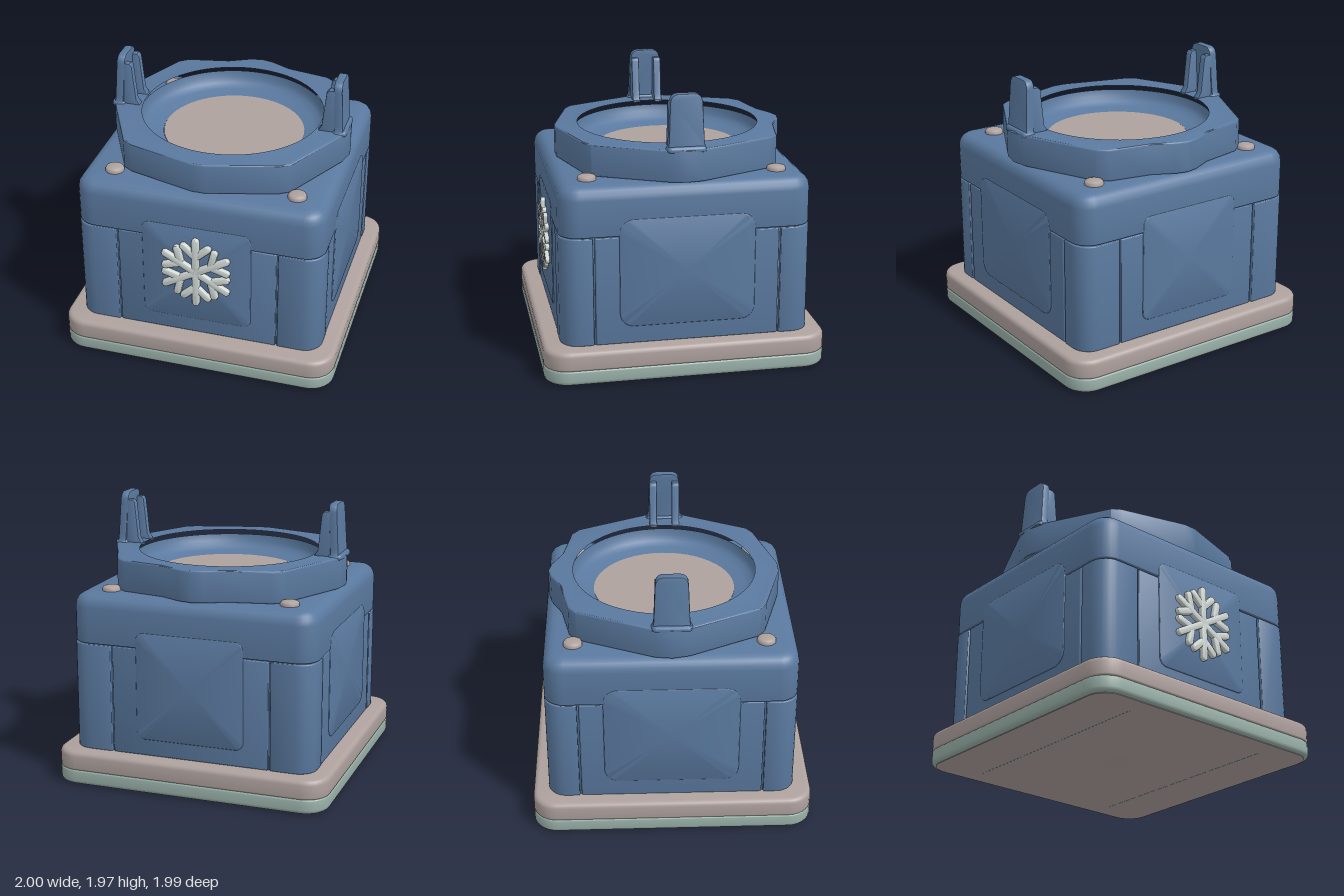
import * as THREE from 'three';
import { toCreasedNormals } from 'three/addons/utils/BufferGeometryUtils.js';

const mat = (name, color) => Object.assign(new THREE.MeshStandardMaterial({ color }), { name });

// Rounded block standing on y0, with half sizes w and d, a radius for each
// corner (+x+z, -x+z, -x-z, +x-z) and rounded bottom and top edges.
function block(w, d, radii, y0, y1, bottom, top) {
  const profile = [];
  const steps = 4;
  for (let i = 0; i <= steps; i++) {
    const a = (i / steps) * Math.PI / 2;
    profile.push([bottom * (1 - Math.sin(a)), y0 + bottom * (1 - Math.cos(a))]);
  }
  for (let i = 0; i <= steps; i++) {
    const a = (i / steps) * Math.PI / 2;
    profile.push([top * (1 - Math.cos(a)), y1 - top * (1 - Math.sin(a))]);
  }
  const corner = [[1, 1], [-1, 1], [-1, -1], [1, -1]];
  const seg = 7, n = 4 * (seg + 1), pos = [], idx = [];
  for (const [inset, y] of profile) {
    corner.forEach(([sx, sz], c) => {
      const r = Math.max(radii[c] - inset, 0.002);
      for (let k = 0; k <= seg; k++) {
        const a = (c + k / seg) * Math.PI / 2;
        pos.push(sx * (w - inset - r) + r * Math.cos(a), y, sz * (d - inset - r) + r * Math.sin(a));
      }
    });
  }
  for (let p = 0; p < profile.length - 1; p++) {
    for (let j = 0; j < n; j++) {
      const a = p * n + j, b = p * n + (j + 1) % n;
      idx.push(a, a + n, b, b, a + n, b + n);
    }
  }
  // End caps
  const last = (profile.length - 1) * n, c0 = pos.length / 3;
  pos.push(0, y0, 0, 0, y1, 0);
  for (let j = 0; j < n; j++) {
    const k = (j + 1) % n;
    idx.push(c0, j, k, c0 + 1, last + k, last + j);
  }
  const g = new THREE.BufferGeometry();
  g.setAttribute('position', new THREE.Float32BufferAttribute(pos, 3));
  g.setIndex(idx);
  return toCreasedNormals(g, 0.6);
}
const all = (r) => [r, r, r, r];

export function createModel() {
  const blue = mat('slate blue', 0x5a799f);
  const pink = mat('warm grey', 0xaea19e);
  const teal = mat('pale teal', 0x9ab1aa);
  const frost = mat('frost white', 0xd0d8d4);
  const model = new THREE.Group();
  model.name = 'coolerBox';
  const add = (name, geo, material, parent = model) => {
    const m = new THREE.Mesh(geo, material);
    m.name = name;
    parent.add(m);
    return m;
  };

  // Two-layer base with underside plate and two slits
  add('baseLower', block(1, 0.995, all(0.17), 0.004, 0.112, 0.03, 0.015), teal);
  add('baseUpper', block(1, 0.995, all(0.17), 0.108, 0.245, 0.015, 0.035), pink);
  add('undersidePlate', block(0.968, 0.963, all(0.14), 0, 0.008, 0.001, 0.001), pink);
  for (const s of [-1, 1]) {
    const slit = add('undersideSlit', new THREE.BoxGeometry(0.012, 0.004, 1.6), teal);
    slit.position.set(s * 0.6, 0.001, 0);
  }

  // Body: recessed core, cap, four corner pillars and four walls between them
  const body = new THREE.Group();
  body.name = 'body';
  body.position.z = -0.007;
  model.add(body);
  const W = 0.89, D = 0.878;
  add('core', block(W - 0.022, D - 0.022, all(0.11), 0.24, 1.1, 0.01, 0.01), blue, body);
  add('cap', block(W, D, all(0.14), 1.024, 1.37, 0.008, 0.09), blue, body);
  const signs = [[1, 1], [-1, 1], [-1, -1], [1, -1]];
  signs.forEach(([sx, sz], i) => {
    const radii = all(0.012);
    radii[i] = 0.13;
    const pillar = add('cornerPillar', block(0.153, 0.113, radii, 0.245, 1.018, 0.008, 0.008), blue, body);
    pillar.position.set(sx * (W - 0.153), 0, sz * (D - 0.113));
  });
  for (const s of [1, -1]) {
    const wallZ = add('endWall', block(0.573, 0.03, all(0.012), 0.245, 1.018, 0.008, 0.008), blue, body);
    wallZ.position.z = s * (D - 0.034);
    const wallX = add('sideWall', block(0.03, 0.641, all(0.012), 0.245, 1.018, 0.008, 0.008), blue, body);
    wallX.position.x = s * (W - 0.034);
  }

  // Raised panel on each face
  const panel = (name, halfW, r, angle, dist, y) => {
    const g = block(halfW, 0.388, all(r), -0.04, 0.004, 0.002, 0.014).rotateX(Math.PI / 2);
    const m = add(name, g.translate(0, 0, dist), blue, body);
    m.rotation.y = angle;
    m.position.y = y;
  };
  panel('frontPanel', 0.395, 0.06, 0, D, 0.75);
  panel('backPanel', 0.395, 0.06, Math.PI, D, 0.75);
  panel('leftPanel', 0.475, 0.1, Math.PI / 2, W, 0.755);
  panel('rightPanel', 0.475, 0.1, -Math.PI / 2, W, 0.755);

  // Snowflake: six arms, each with two side branches
  const flake = new THREE.Group();
  flake.name = 'snowflake';
  flake.position.set(0, 0.78, 0.87);
  model.add(flake);
  const bar = (x, y, length, angle, parent, z) => {
    const g = block(0.026, length / 2, all(0.026), -0.01, 0.036, 0.002, 0.01).rotateX(Math.PI / 2);
    const m = add('snowflakeBar', g.translate(0, length / 2, 0), frost, parent);
    m.position.set(x, y, z);
    m.rotation.z = angle;
  };
  for (let i = 0; i < 6; i++) {
    const arm = new THREE.Group();
    arm.name = 'snowflakeArm';
    arm.rotation.z = i * Math.PI / 3;
    flake.add(arm);
    bar(0, -0.02, 0.3, 0, arm, 0);
    for (const s of [-1, 1]) bar(0, 0.125, 0.145, s * 0.82, arm, -0.001);
  }

  // Faceted collar with a round opening
  const outline = [
    [0, -0.86], [0.09, -0.84], [0.24, -0.765], [0.55, -0.705], [0.62, -0.65], [0.86, -0.12], [0.88, 0],
    [0.85, 0.12], [0.6, 0.61], [0.53, 0.655], [0.05, 0.79], [-0.05, 0.79], [-0.53, 0.655], [-0.6, 0.61],
    [-0.84, 0.12], [-0.867, 0], [-0.85, -0.12], [-0.61, -0.65], [-0.54, -0.705], [-0.24, -0.765], [-0.09, -0.84],
  ];
  const collar = new THREE.Shape(outline.map(([x, z]) => new THREE.Vector2(x, -z)));
  const hole = new THREE.Path();
  hole.absarc(0.005, 0.03, 0.668, 0, Math.PI * 2, true);
  collar.holes.push(hole);
  const collarGeo = new THREE.ExtrudeGeometry(collar, {
    depth: 0.196, bevelThickness: 0.015, bevelSize: 0.015, bevelOffset: -0.015, bevelSegments: 3, curveSegments: 48,
  });
  collarGeo.rotateX(-Math.PI / 2).translate(0, 1.386, 0);
  add('collar', toCreasedNormals(collarGeo, 0.5), blue);

  // Sloping bowl inside the collar and its flat floor
  const bowlPoints = [[0.672, 1.56], [0.664, 1.51], [0.64, 1.475], [0.59, 1.45], [0.5, 1.43]];
  const bowl = add('bowl', new THREE.LatheGeometry(bowlPoints.map((p) => new THREE.Vector2(...p)), 64), blue);
  bowl.position.set(0.005, 0, -0.03);
  const floor = add('bowlFloor', new THREE.CylinderGeometry(0.508, 0.508, 0.06, 48), pink);
  floor.position.set(0.015, 1.404, -0.03);

  // Upright clips: a leaning back plate with two inner ribs on a small foot
  const plate = new THREE.Shape();
  plate.moveTo(-0.14, 0);
  plate.quadraticCurveTo(-0.125, 0.01, -0.122, 0.06);
  plate.lineTo(-0.112, 0.31);
  plate.quadraticCurveTo(-0.108, 0.375, -0.05, 0.375);
  plate.lineTo(0.05, 0.375);
  plate.quadraticCurveTo(0.108, 0.375, 0.112, 0.31);
  plate.lineTo(0.122, 0.06);
  plate.quadraticCurveTo(0.125, 0.01, 0.14, 0);
  const plateGeo = new THREE.ExtrudeGeometry(plate, {
    depth: 0.044, bevelThickness: 0.008, bevelSize: 0.008, bevelOffset: -0.008, bevelSegments: 2,
  });
  plateGeo.rotateY(Math.PI / 2).translate(0.764, 1.595, 0);
  const p = plateGeo.attributes.position;
  for (let i = 0; i < p.count; i++) p.setX(i, p.getX(i) + (1.97 - p.getY(i)) * 0.06);
  const rib = new THREE.Shape([
    [0.65, 1.585], [0.682, 1.635], [0.708, 1.895], [0.725, 1.915], [0.78, 1.915], [0.8, 1.585],
  ].map((q) => new THREE.Vector2(...q)));
  const ribGeo = new THREE.ExtrudeGeometry(rib, {
    depth: 0.04, bevelThickness: 0.008, bevelSize: 0.008, bevelOffset: -0.008, bevelSegments: 2,
  });
  for (const s of [1, -1]) {
    const clip = new THREE.Group();
    clip.name = s > 0 ? 'leftClip' : 'rightClip';
    clip.rotation.y = s > 0 ? 0 : Math.PI;
    clip.position.set(s > 0 ? 0.005 : 0, 0, -0.005);
    model.add(clip);
    add('clipPlate', toCreasedNormals(plateGeo, 0.7), blue, clip);
    for (const z of [-0.104, 0.064]) add('clipRib', toCreasedNormals(ribGeo, 0.7), blue, clip).position.z = z;
    add('clipFoot', block(0.05, 0.135, all(0.03), 1.58, 1.615, 0.002, 0.02), blue, clip).position.x = 0.812;
  }

  // Domed bolts on the cap corners
  const boltPoints = [[0.066, 0], [0.066, 0.02], [0.058, 0.033], [0.035, 0.04], [0, 0.042]];
  const boltGeo = new THREE.LatheGeometry(boltPoints.map((q) => new THREE.Vector2(...q)), 24);
  for (const [sx, sz] of signs) {
    add('bolt', boltGeo, pink).position.set(sx * 0.655, 1.365, sz * 0.665 - 0.013);
  }
  return model;
}
